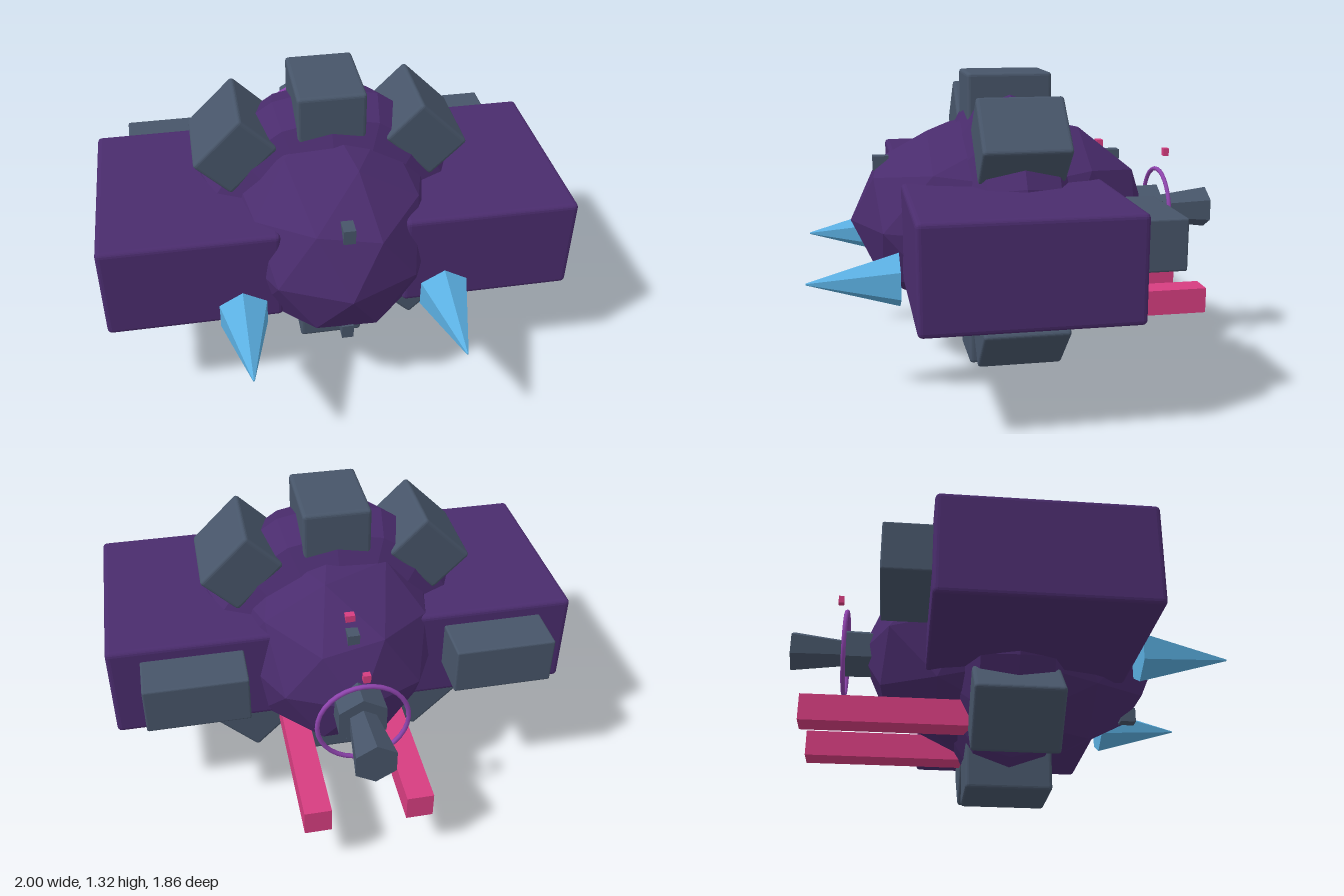
import * as THREE from 'three';
import { RoundedBoxGeometry } from 'three/addons/geometries/RoundedBoxGeometry.js';

const material = (name, color, flatShading = false) => {
  const m = new THREE.MeshStandardMaterial({ color, flatShading });
  m.name = name;
  return m;
};

export function createModel() {
  const hull = material('hullPurple', 0x4a2c6d, true);
  const slate = material('slateGrey', 0x475569, true);
  const pink = material('hotPink', 0xd63d80, true);
  const blue = material('skyBlue', 0x5aaee0, true);
  const violet = material('violet', 0x8e44ad);

  const group = new THREE.Group();
  const MID = 0.665; // height of the main axis

  function add(name, geometry, mat, x, y, z) {
    const mesh = new THREE.Mesh(geometry, mat);
    mesh.name = name;
    mesh.position.set(x, y, z);
    group.add(mesh);
    return mesh;
  }
  const box = (w, h, d) => new THREE.BoxGeometry(w, h, d);
  const rounded = (w, h, d, r = 0.015) => new RoundedBoxGeometry(w, h, d, 2, r);

  // Long faceted body, with a vertex of the ball on top
  const body = new THREE.IcosahedronGeometry(1, 1);
  body.rotateX(-Math.atan((1 + Math.sqrt(5)) / 2));
  body.rotateY(Math.PI / 2);
  body.scale(0.49, 0.475, 0.68);
  add('body', body, hull, 0, MID + 0.005, 0.055);

  // Thick collar around the waist
  add('collar', new THREE.TorusGeometry(0.355, 0.24, 9, 16), hull, 0, MID, 0.037);

  // Armour blocks spaced around the collar
  for (let i = 0; i < 8; i++) {
    if (i % 4 === 0) continue; // the side pods sit here
    const a = (i * Math.PI) / 4;
    const r = i % 2 ? 0.575 : 0.55;
    const block = add('armourBlock', rounded(0.29, 0.22, 0.37), slate,
      Math.cos(a) * r, MID + Math.sin(a) * r, 0.037);
    block.rotation.z = a - Math.PI / 2;
  }

  // Mirrored parts
  for (const s of [1, -1]) {
    add('sidePod', rounded(0.74, 0.43, 0.86, 0.02), hull, s * 0.63, 0.667, 0.095);
    add('podThruster', rounded(0.43, 0.21, 0.24, 0.008), slate, s * 0.65, 0.72, -0.41);
    add('skid', box(0.115, 0.115, 0.71), pink, s * 0.217, 0.288, -0.495);

    const spike = new THREE.CylinderGeometry(0.004, 0.115, 0.38, 6);
    spike.rotateX(Math.PI / 2);
    add('spike', spike, blue, s * 0.43, 0.51, 0.74);
  }

  // Tail: hexagonal socket and flared nozzle along the axis
  const socket = new THREE.CylinderGeometry(0.11, 0.115, 0.24, 6);
  socket.rotateX(Math.PI / 2);
  add('nozzleSocket', socket, slate, 0, MID, -0.57);
  const nozzle = new THREE.CylinderGeometry(0.062, 0.095, 0.25, 6);
  nozzle.rotateX(Math.PI / 2);
  add('nozzle', nozzle, slate, 0, MID, -0.805);
  add('tailRing', new THREE.TorusGeometry(0.19, 0.01, 8, 32), violet, 0, MID, -0.69);

  // Small sensors fore and aft, above and below
  for (const y of [0.925, 0.41]) {
    add('frontSensor', box(0.05, 0.065, 0.07), slate, 0, y, 0.595);
    add('rearSensor', box(0.05, 0.065, 0.07), slate, 0, y, -0.46);
  }

  // Pink beacons
  add('tailBeacon', box(0.03, 0.035, 0.025), pink, 0, 0.935, -0.727);
  add('backBeacon', box(0.04, 0.035, 0.03), pink, 0, 0.985, -0.405);

  return group;
}
